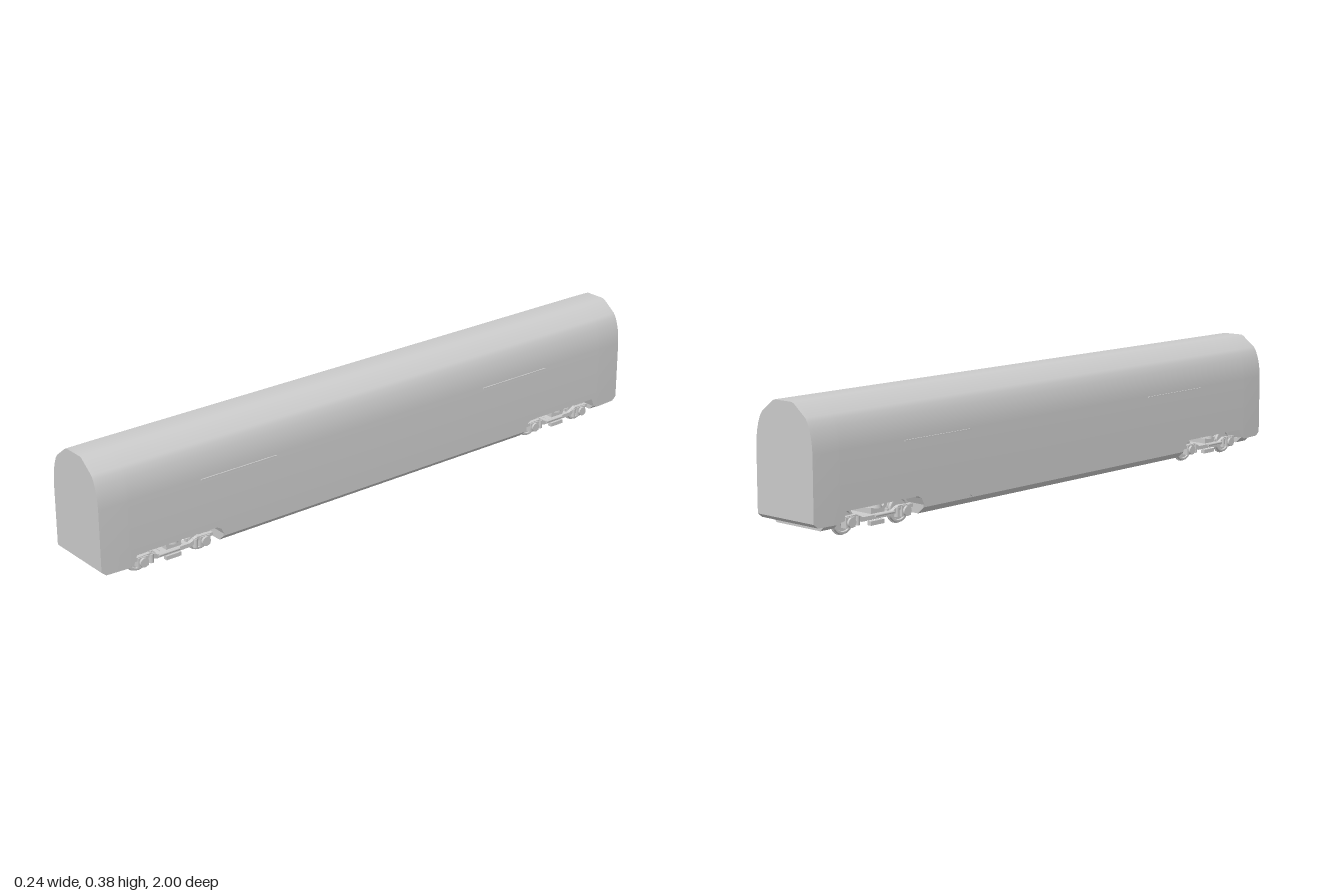
import * as THREE from 'three';
import { toCreasedNormals } from 'three/addons/utils/BufferGeometryUtils.js';

const grey = new THREE.MeshStandardMaterial({ color: 0xcccccc });
grey.name = 'plain grey';

function add(parent, name, geometry, x = 0, y = 0, z = 0) {
  const mesh = new THREE.Mesh(geometry, grey);
  mesh.name = name;
  mesh.position.set(x, y, z);
  parent.add(mesh);
  return mesh;
}
const box = (w, h, d) => new THREE.BoxGeometry(w, h, d);
const axial = (r, w, n = 24) => new THREE.CylinderGeometry(r, r, w, n).rotateZ(Math.PI / 2);

// Half of the shell outline above the sill, from side to roof
const halfProfile = [
  [0.116, 0.09], [0.116, 0.245], [0.1145, 0.268], [0.111, 0.29], [0.105, 0.312],
  [0.097, 0.331], [0.089, 0.342], [0.043, 0.376], [0.035, 0.379],
];

// Car shell: outline lofted along the length, sill height stepping up over the bogies
function shellGeometry() {
  const half = [
    [1, 0.058, 0.971], [0.985, 0.046, 0.976], [0.91, 0.045, 1], [0.906, 0.05, 1],
    [0.896, 0.05, 1], [0.885, 0.078, 1], [0.615, 0.078, 1], [0.6, 0.07, 1],
    [0.59, 0.05, 1], [0.56, 0.052, 1], [0.405, 0.052, 1], [0.395, 0.045, 1],
  ];
  const stations = [...half, ...half.map(([z, y, s]) => [-z, y, s]).reverse()];
  const rings = stations.map(([z, sill, s]) => {
    const side = [[0.116, sill], ...halfProfile].map(([x, y]) => [x * s, y, z]);
    return [...side, ...side.map(([x, y]) => [-x, y, z]).reverse()];
  });
  const n = rings[0].length, pos = [];
  for (let i = 0; i + 1 < rings.length; i++) {
    for (let j = 0; j < n; j++) {
      const k = (j + 1) % n, a = rings[i], b = rings[i + 1];
      pos.push(...a[j], ...b[j], ...b[k], ...a[j], ...b[k], ...a[k]);
    }
  }
  const front = rings[0], back = rings[rings.length - 1];
  for (let j = 1; j + 1 < n; j++) {
    pos.push(...front[0], ...front[j], ...front[j + 1]);
    pos.push(...back[0], ...back[j + 1], ...back[j]);
  }
  const g = new THREE.BufferGeometry();
  g.setAttribute('position', new THREE.Float32BufferAttribute(pos, 3));
  return toCreasedNormals(g, 0.42);
}

// Extrude an outline along z, centred
function prism(points, depth) {
  const shape = new THREE.Shape(points.map(p => new THREE.Vector2(...p)));
  return new THREE.ExtrudeGeometry(shape, { depth, bevelEnabled: false }).translate(0, 0, -depth / 2);
}

// Flanged wheel, turned about the x axis, flange towards -x
function wheelGeometry() {
  const p = [[0, -0.005], [0.012, -0.005], [0.014, -0.003], [0.029, -0.003], [0.031, -0.006],
    [0.04, -0.006], [0.04, -0.003], [0.037, -0.002], [0.036, 0.006], [0.03, 0.006],
    [0.028, 0.002], [0.014, 0.002], [0.012, 0.005], [0, 0.005]];
  const g = new THREE.LatheGeometry(p.map(q => new THREE.Vector2(...q)), 28).rotateZ(-Math.PI / 2);
  return toCreasedNormals(g, 0.5);
}

function sideFrameGeometry() {
  // Dropped-centre beam drawn along z and y
  const s = new THREE.Shape([
    [-0.135, 0.046], [-0.085, 0.046], [-0.06, 0.034], [0.06, 0.034], [0.085, 0.046], [0.135, 0.046],
    [0.135, 0.056], [0.08, 0.058], [0.055, 0.046], [-0.055, 0.046], [-0.08, 0.058], [-0.135, 0.056],
  ].map(p => new THREE.Vector2(...p)));
  return new THREE.ExtrudeGeometry(s, { depth: 0.012, bevelEnabled: false })
    .translate(0, 0, -0.006).rotateY(-Math.PI / 2);
}

function createBogie() {
  const bogie = new THREE.Group();
  bogie.name = 'bogie';
  const wheel = wheelGeometry();
  const frame = sideFrameGeometry();
  add(bogie, 'bolster', box(0.19, 0.016, 0.05), 0, 0.058, 0);
  add(bogie, 'centrePivot', new THREE.CylinderGeometry(0.025, 0.025, 0.022, 20), 0, 0.071, 0);
  add(bogie, 'centreTransom', box(0.17, 0.012, 0.07), 0, 0.038, 0);
  for (const s of [-1, 1]) {
    add(bogie, 'sideFrame', frame, s * 0.09, 0, 0);
    add(bogie, 'airSpring', new THREE.CylinderGeometry(0.017, 0.019, 0.012, 18), s * 0.085, 0.07, 0);
    add(bogie, 'springPlank', box(0.014, 0.012, 0.05), s * 0.088, 0.023, 0);
    add(bogie, 'damper', new THREE.CylinderGeometry(0.004, 0.004, 0.07, 10).rotateX(Math.PI / 2),
      s * 0.102, 0.045, 0.02);
    for (const e of [-1, 1]) {
      const z = e * 0.105;
      const w = add(bogie, 'wheel', wheel, s * 0.066, 0.04, z);
      if (s < 0) w.rotation.y = Math.PI;
      add(bogie, 'axleBox', box(0.02, 0.03, 0.034), s * 0.09, 0.04, z);
      add(bogie, 'bearingCap', axial(0.014, 0.008, 16), s * 0.103, 0.04, z);
      add(bogie, 'primarySpring', new THREE.CylinderGeometry(0.008, 0.008, 0.026, 12),
        s * 0.092, 0.04, e * 0.075);
      add(bogie, 'brakeDisc', axial(0.026, 0.008), s * 0.03, 0.04, z);
      add(bogie, 'brakeShoe', box(0.014, 0.022, 0.006), s * 0.066, 0.038, e * 0.061);
    }
  }
  for (const e of [-1, 1]) {
    add(bogie, 'axle', axial(0.007, 0.18, 14), 0, 0.04, e * 0.105);
    add(bogie, 'crossBeam', box(0.17, 0.01, 0.012), 0, 0.04, e * 0.045);
  }
  return bogie;
}

export function createModel() {
  const car = new THREE.Group();
  car.name = 'railCar';
  add(car, 'carShell', shellGeometry());

  // Tapered equipment fairing between the bogies
  add(car, 'underbodyFairing', prism([
    [-0.09, 0.022], [0.09, 0.022], [0.112, 0.042], [0.112, 0.056], [-0.112, 0.056], [-0.112, 0.042],
  ], 1.18));

  for (const e of [-1, 1]) {
    const bogie = createBogie();
    bogie.position.z = e * 0.75;
    car.add(bogie);
    // Shallow fairing between the bogie and the car end
    add(car, 'endFairing', prism([
      [-0.088, 0.03], [0.088, 0.03], [0.106, 0.047], [-0.106, 0.047],
    ], 0.05), 0, 0, e * 0.93);
    for (const s of [-1, 1]) {
      add(car, 'sideTrimStrip', box(0.006, 0.004, 0.265), s * 0.1165, 0.241, e * 0.533);
    }
  }
  return car;
}
